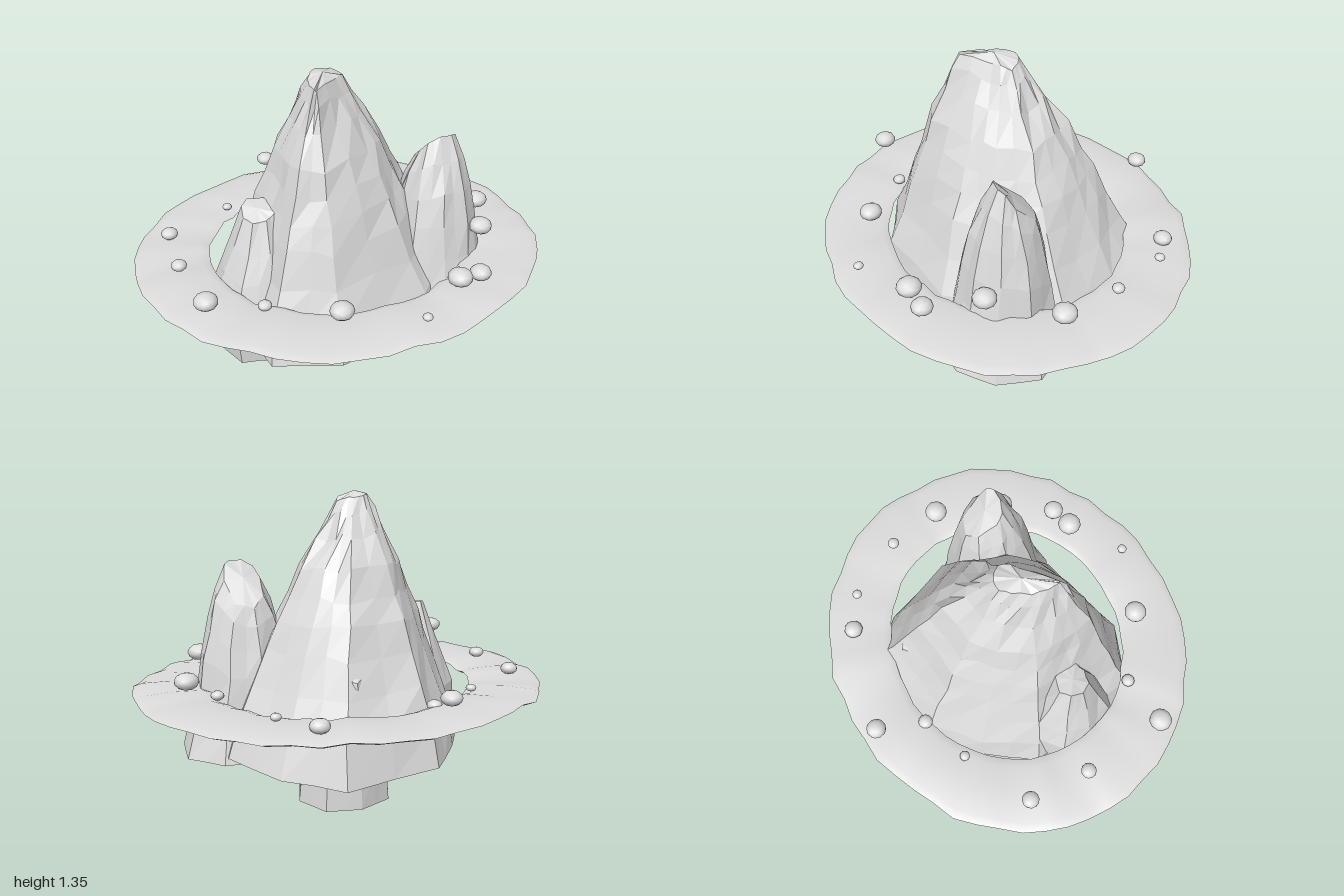
import * as THREE from 'three';

const stone = new THREE.MeshStandardMaterial({ color: 0xdcdcdc });
stone.name = 'pale stone';

function seeded(seed) {
  return () => {
    seed = (seed * 16807) % 2147483647;
    return seed / 2147483647 - 0.5;
  };
}

// Insert points along each edge of a closed outline
function split(points, n) {
  const out = [];
  points.forEach((p, i) => {
    const q = points[(i + 1) % points.length];
    for (let k = 0; k < n; k++) out.push(p.map((v, j) => v + (q[j] - v) * k / n));
  });
  return out;
}

// Facetted rock: base outline [x, z] rises to a top outline [x, y, z];
// profile holds [height fraction, taper fraction]
function rock(name, baseY, base, top, profile, rough, seed, peak = 0.01) {
  const rand = seeded(seed);
  const lower = split(base, 2), upper = split(top, 2), n = lower.length;
  const pos = [], index = [];
  profile.forEach(([t, f], level) => {
    const end = level === 0 || level === profile.length - 1;
    lower.forEach(([x, z], i) => {
      const [tx, ty, tz] = upper[i];
      const r = end ? rough * 0.3 : rough;
      pos.push(x + (tx - x) * f + rand() * r,
        baseY + (ty - baseY) * t + rand() * r * 2,
        z + (tz - z) * f + rand() * r);
    });
  });
  const mean = (pts, j) => pts.reduce((s, p) => s + p[j], 0) / pts.length;
  const last = (profile.length - 1) * n, low = pos.length / 3, high = low + 1;
  pos.push(mean(base, 0), baseY, mean(base, 1));
  pos.push(mean(top, 0), mean(top, 1) + peak, mean(top, 2));
  for (let i = 0; i < n; i++) {
    const j = (i + 1) % n;
    for (let l = 0; l < last; l += n) {
      index.push(l + i, l + n + i, l + j, l + j, l + n + i, l + n + j);
    }
    index.push(low, i, j, high, last + j, last + i);
  }
  const indexed = new THREE.BufferGeometry();
  indexed.setAttribute('position', new THREE.Float32BufferAttribute(pos, 3));
  indexed.setIndex(index);
  const geometry = indexed.toNonIndexed();
  geometry.computeVertexNormals();
  const mesh = new THREE.Mesh(geometry, stone);
  mesh.name = name;
  return mesh;
}

// One face of the oval ring: section holds [fraction from inner to outer rim, y].
// The same seed gives both faces the same chipped rim.
function ringFace(name, section) {
  const rand = seeded(77), n = 52, m = section.length, pos = [], index = [];
  for (let i = 0; i < n; i++) {
    const a = i / n * Math.PI * 2;
    const chip = rand() * 0.026, inner = rand() * 0.012, wave = rand() * 0.02;
    section.forEach(([s, y], k) => {
      const d = chip * s + inner * (1 - s);
      pos.push(Math.cos(a) * (0.643 + 0.352 * s + d), y + wave,
        Math.sin(a) * (0.575 + 0.308 * s + d));
      if (k === m - 1) return;
      const b = ((i + 1) % n) * m + k, c = i * m + k;
      index.push(c, b, c + 1, c + 1, b, b + 1);
    });
  }
  const geometry = new THREE.BufferGeometry();
  geometry.setAttribute('position', new THREE.Float32BufferAttribute(pos, 3));
  geometry.setIndex(index);
  geometry.computeVertexNormals();
  const mesh = new THREE.Mesh(geometry, stone);
  mesh.name = name;
  return mesh;
}

export function createModel() {
  const group = new THREE.Group();
  group.name = 'ringed mountain';

  // Main mountain with a slanted summit ridge
  group.add(rock('mountain', 0.16,
    [[0.29, -0.665], [0.49, -0.43], [0.61, -0.08], [0.49, 0.26], [0.31, 0.45], [-0.2, 0.575],
      [-0.51, 0.46], [-0.55, 0.15], [-0.59, -0.14], [-0.41, -0.39], [-0.2, -0.605]],
    [[-0.03, 1.33, -0.08], [0, 1.325, -0.06], [0.03, 1.31, -0.02], [0, 1.325, 0.02],
      [-0.06, 1.33, 0.07], [-0.165, 1.33, 0.16], [-0.175, 1.33, 0.155], [-0.175, 1.33, 0.1],
      [-0.16, 1.33, 0.03], [-0.12, 1.34, -0.04], [-0.08, 1.34, -0.08]],
    [[0, 0], [0.15, 0.09], [0.29, 0.24], [0.43, 0.36], [0.53, 0.46], [0.63, 0.56],
      [0.73, 0.66], [0.85, 0.82], [0.94, 0.93], [1, 1]], 0.018, 11, 0.025));

  // Left-hand tall crag (+x)
  group.add(rock('tallCrag', 0.12,
    [[0.75, 0.1], [0.71, 0.31], [0.57, 0.45], [0.38, 0.48], [0.18, 0.38],
      [0.11, 0.17], [0.18, -0.03], [0.4, -0.11], [0.62, -0.06]],
    [[0.53, 0.95, 0.15], [0.51, 1.02, 0.19], [0.48, 1.03, 0.21], [0.42, 1.03, 0.21],
      [0.37, 1.0, 0.19], [0.35, 0.95, 0.15], [0.37, 0.88, 0.06], [0.43, 0.83, 0.02],
      [0.51, 0.85, 0.05]],
    [[0, 0], [0.18, 0.2], [0.36, 0.35], [0.55, 0.48], [0.72, 0.62], [0.88, 0.8], [1, 1]],
    0.012, 23, 0.01));

  // Right-hand low crag (-x)
  group.add(rock('lowCrag', 0.065,
    [[-0.17, 0.1], [-0.25, 0.26], [-0.43, 0.325], [-0.6, 0.28], [-0.66, 0.12],
      [-0.63, -0.03], [-0.5, -0.14], [-0.32, -0.11]],
    [[-0.36, 0.78, 0.11], [-0.37, 0.77, 0.16], [-0.42, 0.75, 0.18], [-0.48, 0.74, 0.17],
      [-0.51, 0.75, 0.12], [-0.5, 0.78, 0.06], [-0.46, 0.79, 0.02], [-0.39, 0.79, 0.04]],
    [[0, 0], [0.2, -0.08], [0.42, 0], [0.6, 0.3], [0.78, 0.62], [1, 1]],
    0.01, 31));

  // Rear crag, mostly buried, hanging lowest under the mountain
  group.add(rock('rearCrag', 0.01,
    [[0.31, -0.2], [0.16, -0.15], [0, -0.2], [-0.06, -0.35],
      [0, -0.5], [0.16, -0.55], [0.31, -0.5], [0.37, -0.34]],
    [[0.2, 0.62, -0.42], [0.17, 0.63, -0.4], [0.14, 0.62, -0.42], [0.12, 0.6, -0.45],
      [0.13, 0.58, -0.48], [0.16, 0.57, -0.5], [0.19, 0.58, -0.48], [0.21, 0.6, -0.45]],
    [[0, 0], [0.28, 0.06], [0.6, 0.4], [1, 1]], 0.01, 43));

  // Thin wavy ring, sharp at both rims
  const ring = new THREE.Group();
  ring.name = 'ring';
  ring.add(
    ringFace('ringTop', [[0, 0.433], [0.12, 0.447], [0.5, 0.453], [0.88, 0.446], [1, 0.432]]),
    ringFace('ringUnderside', [[1, 0.432], [0.88, 0.415], [0.5, 0.408], [0.12, 0.415], [0, 0.433]]));
  group.add(ring);

  // Pebbles floating over the ring: x, y, z, radius
  const pebbles = new THREE.Group();
  pebbles.name = 'pebbles';
  const pebbleShape = new THREE.IcosahedronGeometry(1, 1);
  [[-0.13, 0.55, -0.79, 0.048], [0.41, 0.47, -0.66, 0.046], [0.56, 0.5, -0.56, 0.025],
    [0.71, 0.53, -0.27, 0.03], [0.765, 0.525, 0.01, 0.058], [0.61, 0.575, 0.32, 0.057],
    [0.36, 0.51, 0.59, 0.06], [0.48, 0.49, 0.565, 0.052], [0.11, 0.48, 0.765, 0.024],
    [-0.23, 0.51, 0.625, 0.056], [-0.51, 0.465, 0.41, 0.032], [-0.77, 0.56, 0.415, 0.055],
    [-0.8, 0.49, 0, 0.038], [-0.78, 0.48, -0.31, 0.042], [-0.44, 0.47, -0.48, 0.025],
    [-0.19, 0.445, -0.565, 0.036],
  ].forEach(([x, y, z, r], i) => {
    const pebble = new THREE.Mesh(pebbleShape, stone);
    pebble.name = 'pebble';
    pebble.position.set(x, y, z);
    pebble.scale.set(r, r * 0.7, r);
    pebble.rotation.y = i * 1.3;
    pebbles.add(pebble);
  });
  group.add(pebbles);
  return group;
}
